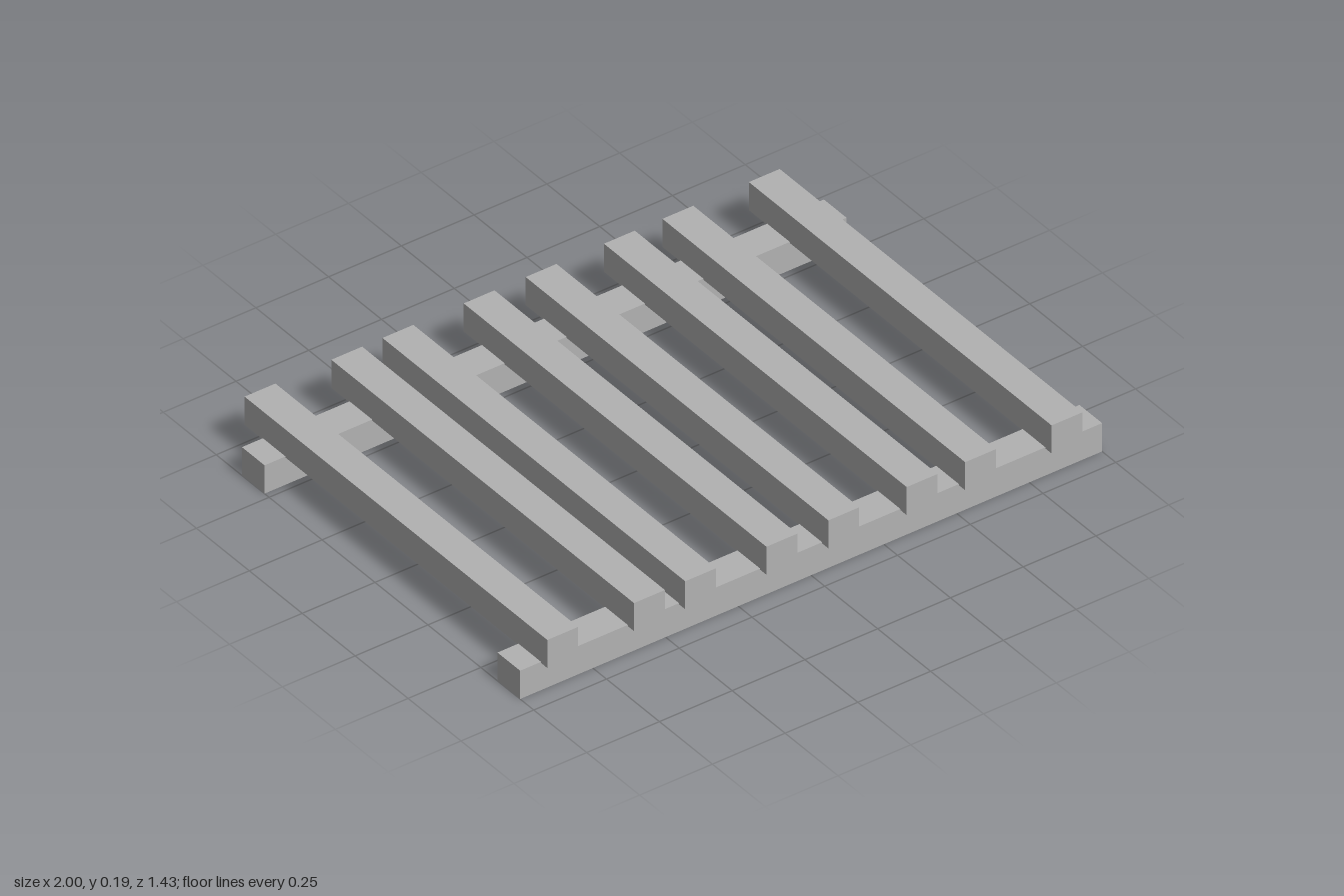
import * as THREE from 'three';

export function createModel() {
  const group = new THREE.Group();
  const grey = new THREE.MeshStandardMaterial({ color: 0xb2b2b2 });
  grey.name = 'plain grey';

  const beam = (name, width, height, depth, x, bottom, z) => {
    const mesh = new THREE.Mesh(new THREE.BoxGeometry(width, height, depth), grey);
    mesh.name = name;
    mesh.position.set(x, bottom + height / 2, z);
    group.add(mesh);
  };

  // Two long rails resting on the ground
  beam('frontRail', 2, 0.097, 0.107, 0, 0, 0.632);
  beam('backRail', 2, 0.097, 0.107, 0, 0, -0.575);

  // Unevenly spaced slats, sunk slightly into the rails
  const slatX = [-0.875, -0.577, -0.401, -0.122, 0.091, 0.36, 0.561, 0.858];
  slatX.forEach((x, i) => beam(`slat${i + 1}`, 0.106, 0.096, 1.43, x, 0.093, 0));

  return group;
}
